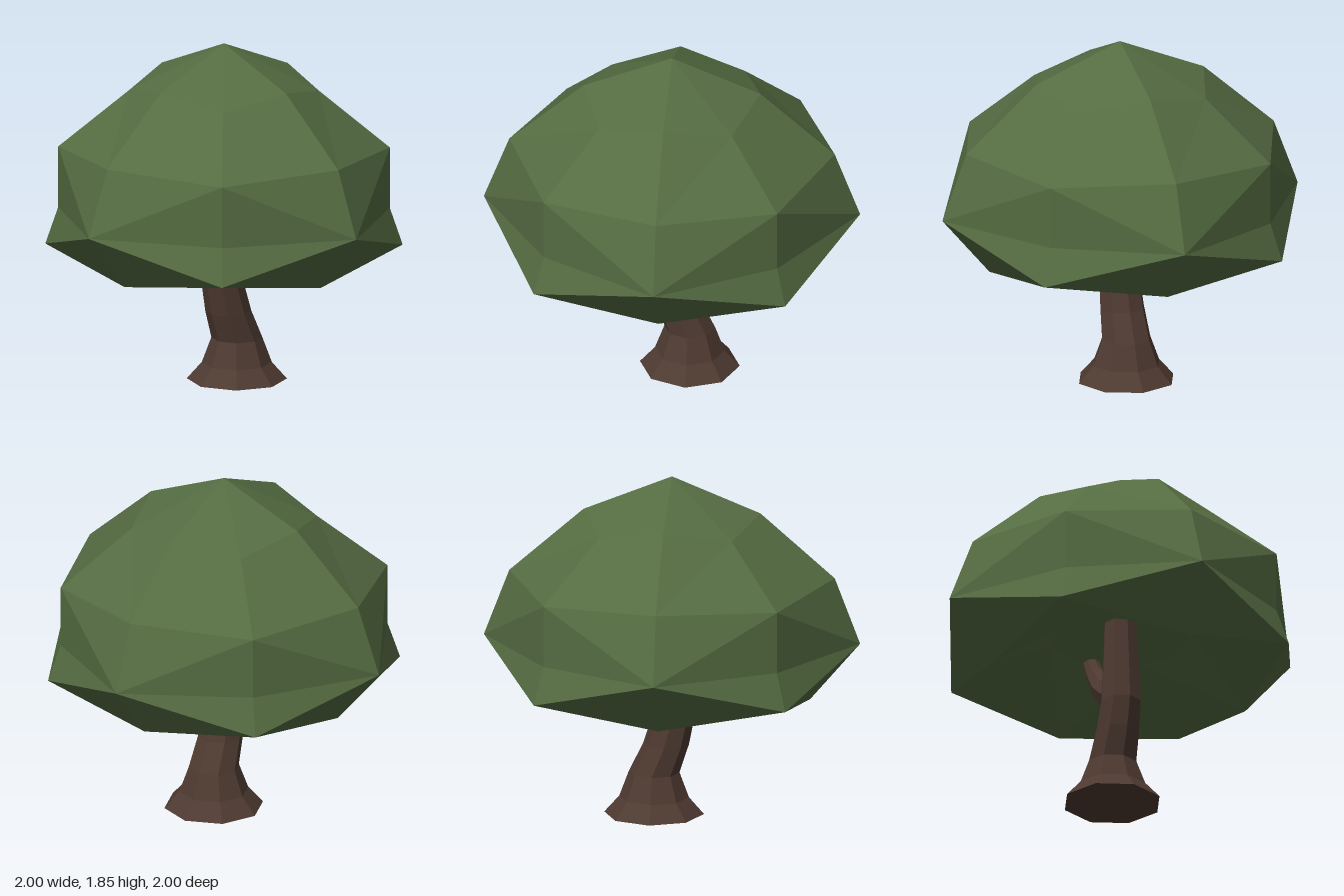
import * as THREE from 'three';

const SIDES = 8;

// Joins 8-point rings into a faceted skin. splits[k] picks the diagonal
// of the quads between ring k and ring k + 1, mirrored on every other side.
function loft(rings, splits = []) {
  const pos = [];
  const tri = (...pts) => {
    if (new THREE.Triangle(...pts).getArea() > 1e-7) pts.forEach((p) => pos.push(p.x, p.y, p.z));
  };
  for (let k = 0; k < rings.length - 1; k++) {
    for (let i = 0; i < SIDES; i++) {
      const j = (i + 1) % SIDES;
      const a = rings[k][i], b = rings[k][j], c = rings[k + 1][j], d = rings[k + 1][i];
      if ((i % 2 === 0) !== Boolean(splits[k])) {
        tri(a, d, c);
        tri(a, c, b);
      } else {
        tri(a, d, b);
        tri(d, c, b);
      }
    }
  }
  const geo = new THREE.BufferGeometry();
  geo.setAttribute('position', new THREE.Float32BufferAttribute(pos, 3));
  geo.computeVertexNormals();
  return geo;
}

// Ring around (cx, cy, 0), tilted in the x-y plane; radius is a function of the side index
function ring(cx, cy, radius, tilt = 0, lift = () => 0) {
  return Array.from({ length: SIDES }, (_, i) => {
    const t = (i / SIDES) * Math.PI * 2;
    const r = radius(i);
    const x = Math.cos(t) * r;
    return new THREE.Vector3(
      cx + x * Math.cos(tilt),
      cy + lift(i) - x * Math.sin(tilt),
      Math.sin(t) * r
    );
  });
}

// Limb from [x, y, radius, tilt] stations, closed at both ends
function limb(stations) {
  const rings = stations.map(([x, y, r, tilt]) => ring(x, y, () => r, tilt));
  const [first, last] = [stations[0], stations.at(-1)];
  return loft([
    ring(first[0], first[1], () => 0), ...rings, ring(last[0], last[1], () => 0),
  ]);
}

export function createModel() {
  const tree = new THREE.Group();
  tree.name = 'tree';
  const bark = new THREE.MeshStandardMaterial({ color: 0x4e3a31, flatShading: true });
  const leaf = new THREE.MeshStandardMaterial({ color: 0x556c42, flatShading: true });

  const add = (name, geometry, material) => {
    const mesh = new THREE.Mesh(geometry, material);
    mesh.name = name;
    tree.add(mesh);
  };

  // Flared, bent trunk
  add('trunk', limb([
    [0.095, 0, 0.265, 0],
    [0.095, 0.09, 0.185, 0],
    [0.095, 0.225, 0.135, 0],
    [0.032, 0.38, 0.122, 0],
    [-0.01, 0.54, 0.112, 0],
    [-0.01, 0.72, 0.102, 0],
    [0, 1.08, 0.085, 0],
  ]), bark);

  // Side branch reaching up into the crown
  add('branch', limb([
    [-0.01, 0.57, 0.085, 0.95],
    [0.08, 0.62, 0.085, 0.9],
    [0.2, 0.71, 0.07, 0.8],
    [0.3, 0.83, 0.052, 0.6],
    [0.4, 1.0, 0.04, 0.5],
  ]), bark);

  // Crown rows, from the hollow underside around the rim to the apex:
  // [radius, y] on the axes, then [radius, y] on the diagonals
  const rows = [
    [0, 1.02, 0, 1.02],
    [0.37, 0.91, 0.38, 0.93],
    [0.735, 0.645, 0.945, 0.75],
    [1, 0.955, 0.877, 0.95],
    [0.865, 1.31, 0.877, 1.28],
    [0.47, 1.655, 0.5, 1.59],
    [0, 1.845, 0, 1.845],
  ];
  const crownRings = rows.map(([ra, ya, rd, yd]) =>
    ring(0, 0, (i) => (i % 2 ? rd : ra), 0, (i) => (i % 2 ? yd : ya)));
  add('crown', loft(crownRings, [0, 1, 1, 0, 0, 0]), leaf);

  return tree;
}
